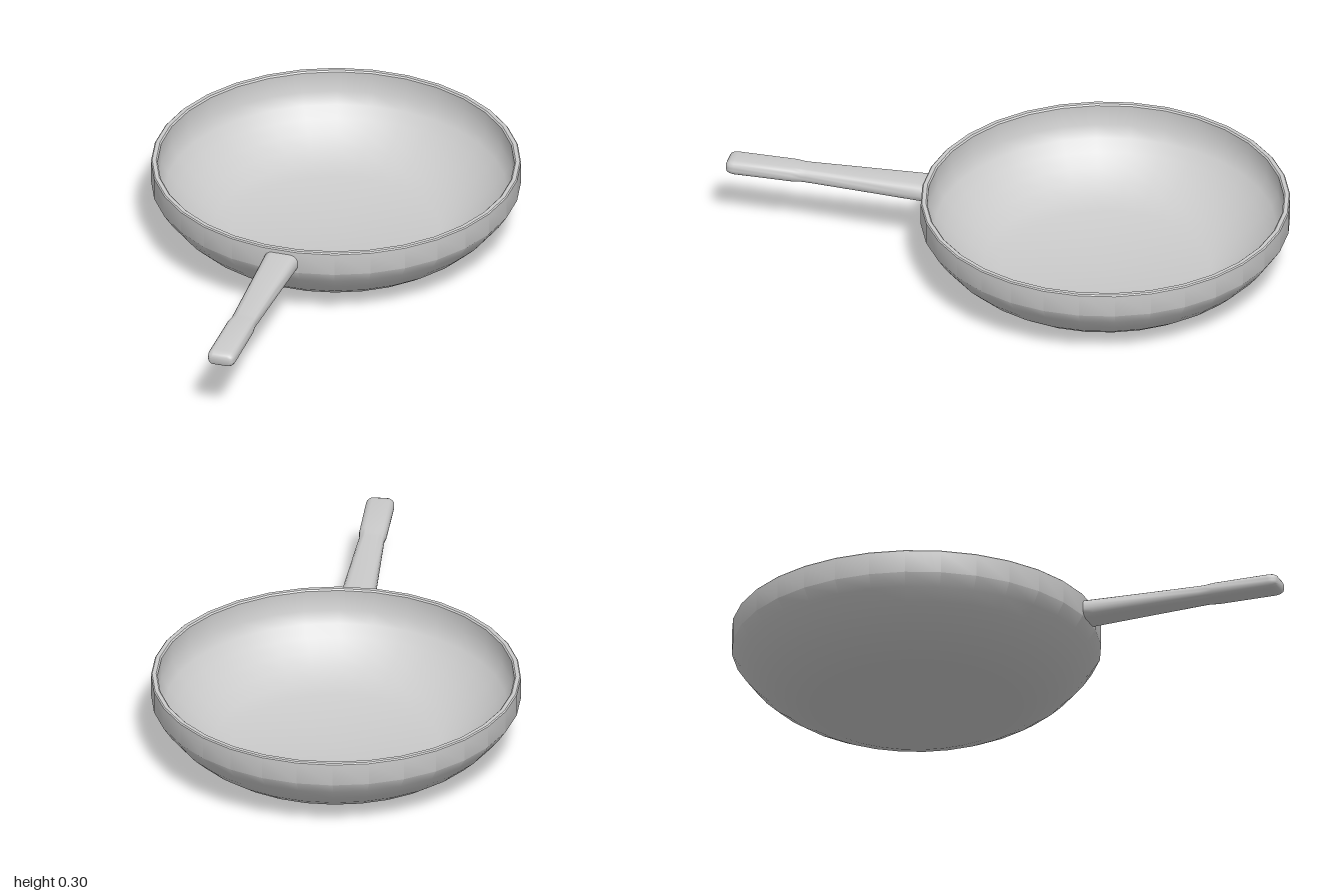
import * as THREE from 'three';
import { toCreasedNormals } from 'three/addons/utils/BufferGeometryUtils.js';

const SIDES = 32;
const PAN_Z = -0.357;

// Rounded-rectangle ring, counter-clockwise seen from +z
function ring(halfW, halfH, y, z) {
  const r = Math.min(halfW, halfH) * 0.85;
  const points = [];
  for (let c = 0; c < 4; c++) {
    const sx = c === 0 || c === 3 ? 1 : -1;
    const sy = c < 2 ? 1 : -1;
    for (let k = 0; k < 5; k++) {
      const a = (c + k / 4) * Math.PI / 2;
      points.push([sx * (halfW - r) + r * Math.cos(a), y + sy * (halfH - r) + r * Math.sin(a), z]);
    }
  }
  return points;
}

// Skin a row of rings running towards +z and close both ends
function loft(rings) {
  const n = rings[0].length;
  const index = [];
  for (let i = 0; i < rings.length - 1; i++) {
    for (let j = 0; j < n; j++) {
      const a = i * n + j, b = i * n + (j + 1) % n;
      index.push(a, b, b + n, a, b + n, a + n);
    }
  }
  const last = (rings.length - 1) * n;
  for (let j = 1; j < n - 1; j++) {
    index.push(0, j + 1, j);
    index.push(last, last + j, last + j + 1);
  }
  const geometry = new THREE.BufferGeometry();
  geometry.setAttribute('position', new THREE.Float32BufferAttribute(rings.flat(2), 3));
  geometry.setIndex(index);
  return geometry;
}

export function createModel() {
  const group = new THREE.Group();
  group.name = 'fryingPan';
  const material = new THREE.MeshStandardMaterial({ color: 0xcccccc });

  // Bowl: underside, curved flank, upright rim, then back down the inside
  const profile = [
    [0, 0], [0.372, 0], [0.435, 0.021], [0.49, 0.05], [0.54, 0.085], [0.583, 0.126],
    [0.617, 0.168], [0.646, 0.212], [0.646, 0.293], [0.642, 0.297],
    [0.628, 0.297], [0.623, 0.292], [0.623, 0.215], [0.598, 0.175], [0.565, 0.137],
    [0.524, 0.1], [0.478, 0.067], [0.425, 0.039], [0.366, 0.02], [0, 0.018],
  ].map(([x, y]) => new THREE.Vector2(x, y));
  const bowlGeometry = new THREE.LatheGeometry(profile, SIDES, Math.PI / SIDES);
  const bowl = new THREE.Mesh(toCreasedNormals(bowlGeometry, 0.6), material);
  bowl.name = 'bowl';
  bowl.position.z = PAN_Z;
  group.add(bowl);

  // Handle: tapering neck, small step, then a rounded grip
  const sections = [
    // halfW, halfH, y, z
    [0.062, 0.034, 0.246, 0.27],
    [0.060, 0.033, 0.246, 0.32],
    [0.053, 0.029, 0.246, 0.5],
    [0.045, 0.025, 0.246, 0.71],
    [0.045, 0.025, 0.246, 0.73],
    [0.049, 0.027, 0.246, 0.76],
    [0.050, 0.027, 0.245, 0.97],
    [0.048, 0.025, 0.245, 0.985],
    [0.043, 0.020, 0.245, 0.996],
    [0.036, 0.013, 0.245, 1.0],
  ];
  const handleGeometry = loft(sections.map((s) => ring(...s)));
  const handle = new THREE.Mesh(toCreasedNormals(handleGeometry, 0.8), material);
  handle.name = 'handle';
  group.add(handle);

  return group;
}
